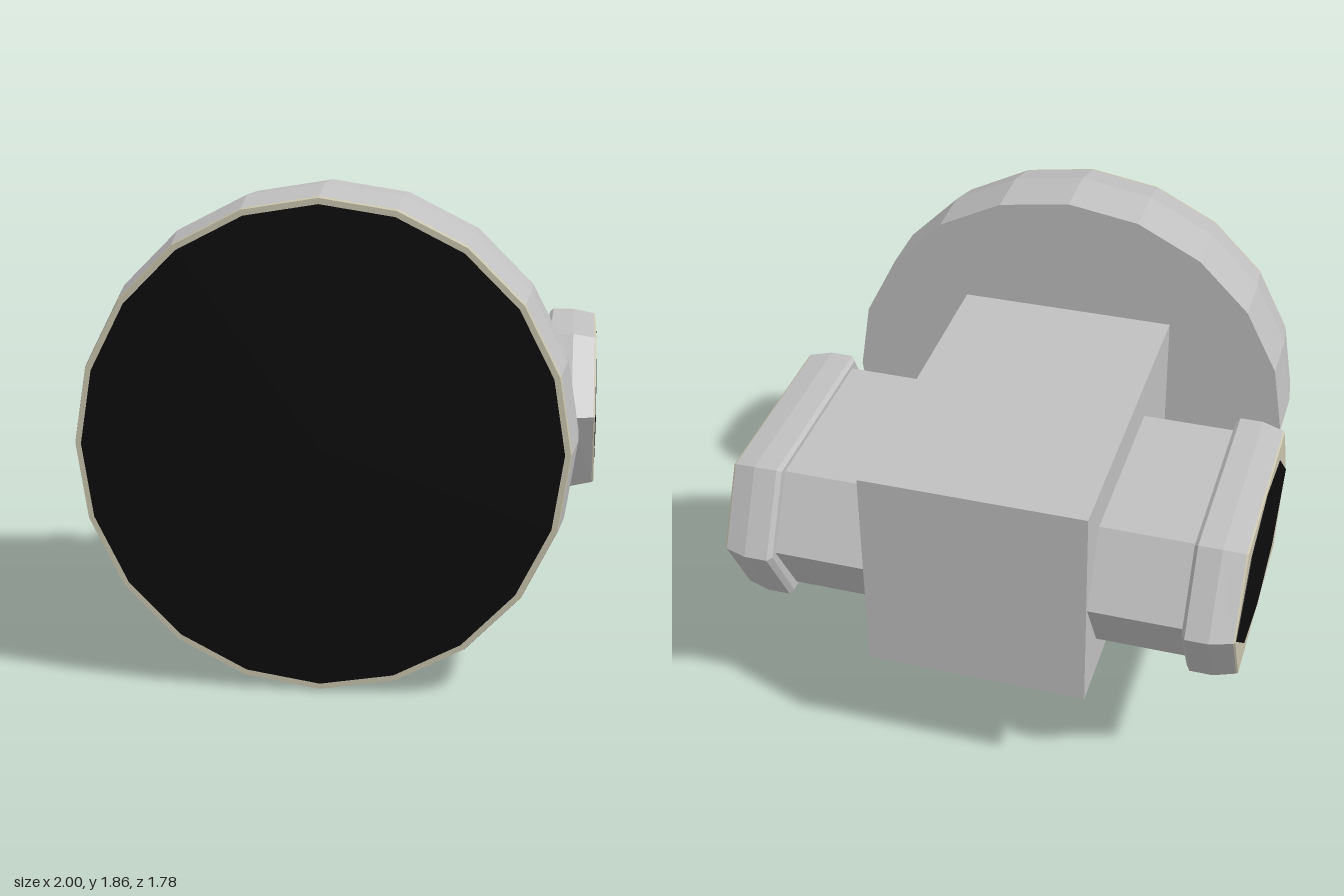
import * as THREE from 'three';

const mat = (name, color) => {
  const m = new THREE.MeshStandardMaterial({ color, flatShading: true });
  m.name = name;
  return m;
};

// Joins cross-sections along z; each section is { z, pts: [[x, y], ...] }, counter-clockwise.
function loft(name, sections, material) {
  const pos = [];
  for (let s = 0; s < sections.length - 1; s++) {
    const lo = sections[s], hi = sections[s + 1], n = lo.pts.length;
    for (let i = 0; i < n; i++) {
      const j = (i + 1) % n;
      const a = [...lo.pts[i], lo.z], b = [...lo.pts[j], lo.z];
      const c = [...hi.pts[j], hi.z], d = [...hi.pts[i], hi.z];
      const collapsed = (p, q) => Math.hypot(p[0] - q[0], p[1] - q[1]) < 1e-6;
      if (!collapsed(a, b)) pos.push(...a, ...b, ...c);
      if (!collapsed(c, d)) pos.push(...a, ...c, ...d);
    }
  }
  const g = new THREE.BufferGeometry();
  g.setAttribute('position', new THREE.Float32BufferAttribute(pos, 3));
  g.computeVertexNormals();
  const mesh = new THREE.Mesh(g, material);
  mesh.name = name;
  return mesh;
}

// Twenty-sided ring and stretched six- and eight-sided outlines
const ring = (z, r, cy) => ({
  z,
  pts: Array.from({ length: 20 }, (_, i) => {
    const a = (i / 20) * Math.PI * 2;
    return [r * Math.cos(a), cy + r * Math.sin(a)];
  }),
});
const hex = (z, w, flat, h) => ({
  z, pts: [[w, 0], [flat, h], [-flat, h], [-w, 0], [-flat, -h], [flat, -h]],
});
const oct = (z, k) => ({
  z,
  pts: [[0.538, 0], [0.31, 0.208], [0, 0.267], [-0.31, 0.208],
    [-0.538, 0], [-0.31, -0.208], [0, -0.267], [0.31, -0.208]].map(([x, y]) => [x * k, y * k]),
});

export function createModel() {
  const grey = mat('grey metal', 0xc0c0c0);
  const beige = mat('beige rim', 0xc9c4ae);
  const black = mat('black face', 0x0c0c0c);
  const model = new THREE.Group();
  model.name = 'model';

  // Central block
  const block = new THREE.Mesh(new THREE.BoxGeometry(0.874, 0.875, 1.34), grey);
  block.position.set(0, 0.937, -0.18);
  block.name = 'block';
  model.add(block);

  // Large front disc, tapering to a slightly lowered face
  const disc = new THREE.Group();
  disc.name = 'frontDisc';
  disc.add(
    loft('discBody', [ring(0.49, 0, 0.937), ring(0.49, 0.932, 0.937),
      ring(0.72, 0.932, 0.937), ring(0.875, 0.912, 0.918)], grey),
    loft('discRim', [ring(0.875, 0.912, 0.918), ring(0.892, 0.907, 0.917),
      ring(0.892, 0.886, 0.916)], beige),
    loft('discFace', [ring(0.892, 0.886, 0.916), ring(0.892, 0, 0.916)], black),
  );
  model.add(disc);

  // Side arms with flared end knobs
  for (const side of [1, -1]) {
    const arm = new THREE.Group();
    arm.name = side > 0 ? 'leftArm' : 'rightArm';
    arm.add(
      loft('shaft', [hex(0.43, 0.525, 0.365, 0.277), hex(0.81, 0.525, 0.365, 0.277)], grey),
      loft('knob', [hex(0.8, 0, 0, 0), hex(0.8, 0.555, 0.395, 0.295),
        hex(0.815, 0.58, 0.41, 0.308), hex(0.905, 0.58, 0.41, 0.308),
        hex(0.99, 0.553, 0.393, 0.293)], grey),
      loft('knobRim', [hex(0.99, 0.553, 0.393, 0.293), hex(0.997, 0.547, 0.39, 0.289),
        hex(0.997, 0, 0, 0)], beige),
      loft('knobFace', [oct(0.997, 1), oct(1, 1), oct(1, 0)], black),
    );
    arm.rotation.y = side * Math.PI / 2;
    arm.position.set(0, 0.937, -0.312);
    model.add(arm);
  }
  return model;
}
